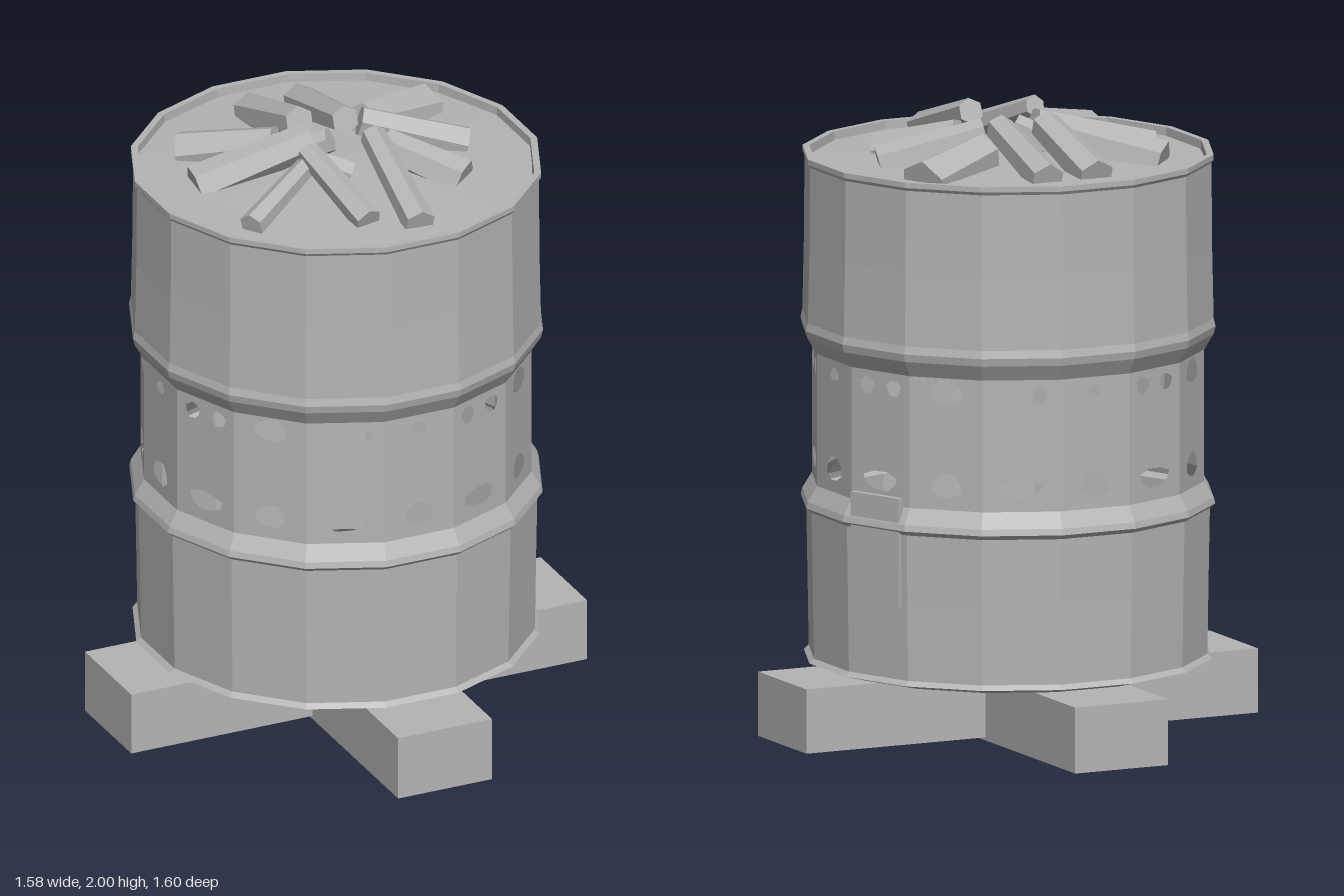
import * as THREE from 'three';

const SIDES = 16;
const STEP = (Math.PI * 2) / SIDES;

export function createModel() {
  const model = new THREE.Group();
  const grey = new THREE.MeshStandardMaterial({ color: 0xb4b4b4, flatShading: true, side: THREE.DoubleSide });
  grey.name = 'plain grey';

  function add(name, geometry, parent = model) {
    const mesh = new THREE.Mesh(geometry, grey);
    mesh.name = name;
    parent.add(mesh);
    return mesh;
  }

  // Faceted ring wall from [radius, height] pairs, slightly dented by a rule
  function wall(name, profile, dent = 0) {
    const points = profile.map(([r, y]) => new THREE.Vector2(r, y));
    const geometry = new THREE.LatheGeometry(points, SIDES, STEP / 2);
    const p = geometry.attributes.position;
    for (let i = 0; i < p.count; i++) {
      const x = p.getX(i), y = p.getY(i), z = p.getZ(i);
      const k = 1 + dent * Math.sin(5 * Math.atan2(x, z) + y * 7);
      p.setXYZ(i, x * k, y, z * k);
    }
    return add(name, geometry);
  }

  // Barrel walls, with the rolled ridges above and below the vent band
  wall('lowerBarrel', [[0, 0.215], [0.57, 0.215], [0.645, 0.235], [0.63, 0.25], [0.634, 0.5],
    [0.638, 0.715], [0.655, 0.73], [0.65, 0.75], [0.62, 0.8]]);
  wall('upperBarrel', [[0.62, 1.22], [0.65, 1.27], [0.656, 1.295], [0.65, 1.32], [0.645, 1.55],
    [0.643, 1.815], [0.65, 1.825], [0.65, 1.842], [0.628, 1.842], [0.626, 1.8]]);
  wall('ashBed', [[0.628, 1.815], [0.45, 1.822], [0.25, 1.835], [0, 1.85]], 0.01);

  // Vent band: flat panels with irregular openings
  function opening(cx, cy, w, h, seed) {
    const path = new THREE.Path();
    for (let i = 0; i < 8; i++) {
      const a = -(i / 8) * Math.PI * 2 + 0.39;
      const k = 0.54 + 0.05 * Math.sin(seed * 3 + i * 2.3);
      path[i ? 'lineTo' : 'moveTo'](cx + Math.cos(a) * w * k, cy + Math.sin(a) * h * k);
    }
    path.closePath();
    return path;
  }
  const band = new THREE.Group();
  band.name = 'ventBand';
  model.add(band);
  const bandRadius = 0.62;
  const half = bandRadius * Math.sin(STEP / 2);
  for (let i = 0; i < SIDES; i++) {
    const shape = new THREE.Shape();
    shape.moveTo(-half, 0.8);
    shape.lineTo(half, 0.8);
    shape.lineTo(half, 1.22);
    shape.lineTo(-half, 1.22);
    shape.closePath();
    if (i % 2) {
      shape.holes.push(opening(-0.055, 1.172, 0.055, 0.055, i), opening(0.055, 1.172, 0.055, 0.05, i + 2));
      shape.holes.push(opening(0, 0.873, 0.13, 0.06, i));
    } else {
      const axis = i % 4 === 0;
      shape.holes.push(opening(0, 1.175, axis ? 0.05 : 0.1, axis ? 0.04 : 0.075, i));
      shape.holes.push(opening(0, 0.875, 0.095, 0.075, i));
    }
    const geometry = new THREE.ShapeGeometry(shape);
    geometry.translate(0, 0, bandRadius * Math.cos(STEP / 2));
    geometry.rotateY(i * STEP);
    add('ventPanel', geometry, band);
  }

  // Raised flap on the side
  const flap = new THREE.BoxGeometry(0.2, 0.35, 0.02);
  flap.translate(0, 0.655, 0.626);
  flap.rotateY(5 * STEP);
  add('sideFlap', flap);

  // Crossed beams under the barrel
  add('sideBeam', new THREE.BoxGeometry(1.58, 0.205, 0.34)).position.y = 0.1125;
  add('frontBeam', new THREE.BoxGeometry(0.325, 0.21, 1.6)).position.y = 0.105;

  // Split logs leaning toward the middle: inner x, z, top; outer x, z; width
  const logs = [
    [-0.16, -0.1, 1.95, -0.39, -0.3, 0.15],
    [-0.08, -0.02, 1.98, -0.46, -0.06, 0.13],
    [-0.14, 0.11, 1.95, -0.44, 0.31, 0.08],
    [-0.15, 0.11, 1.99, -0.09, 0.43, 0.09],
    [0.08, 0.1, 2.0, 0.05, 0.51, 0.1],
    [0.14, 0.06, 1.95, 0.32, 0.26, 0.13],
    [0.12, -0.08, 1.97, 0.43, 0.04, 0.12],
    [0.16, -0.15, 1.94, 0.43, -0.27, 0.17],
    [-0.07, -0.12, 1.99, -0.08, -0.46, 0.12],
    [0.07, -0.08, 1.98, 0.09, -0.46, 0.11],
    [-0.02, 0.0, 1.96, -0.17, -0.1, 0.1],
    [-0.12, 0.04, 1.93, 0.0, 0.1, 0.09],
  ];
  const pile = new THREE.Group();
  pile.name = 'logPile';
  model.add(pile);
  const up = new THREE.Vector3(0, 1, 0);
  for (const [ix, iz, top, ox, oz, w] of logs) {
    const inner = new THREE.Vector3(ix, top - w * 0.45, iz);
    const outer = new THREE.Vector3(ox, 1.87 - w * 0.4, oz);
    const dir = inner.clone().sub(outer);
    const geometry = new THREE.CylinderGeometry(w * 0.42, w * 0.52, dir.length(), 6);
    const log = add('log', geometry, pile);
    log.position.copy(inner).add(outer).multiplyScalar(0.5);
    log.quaternion.setFromUnitVectors(up, dir.normalize());
  }
  return model;
}
